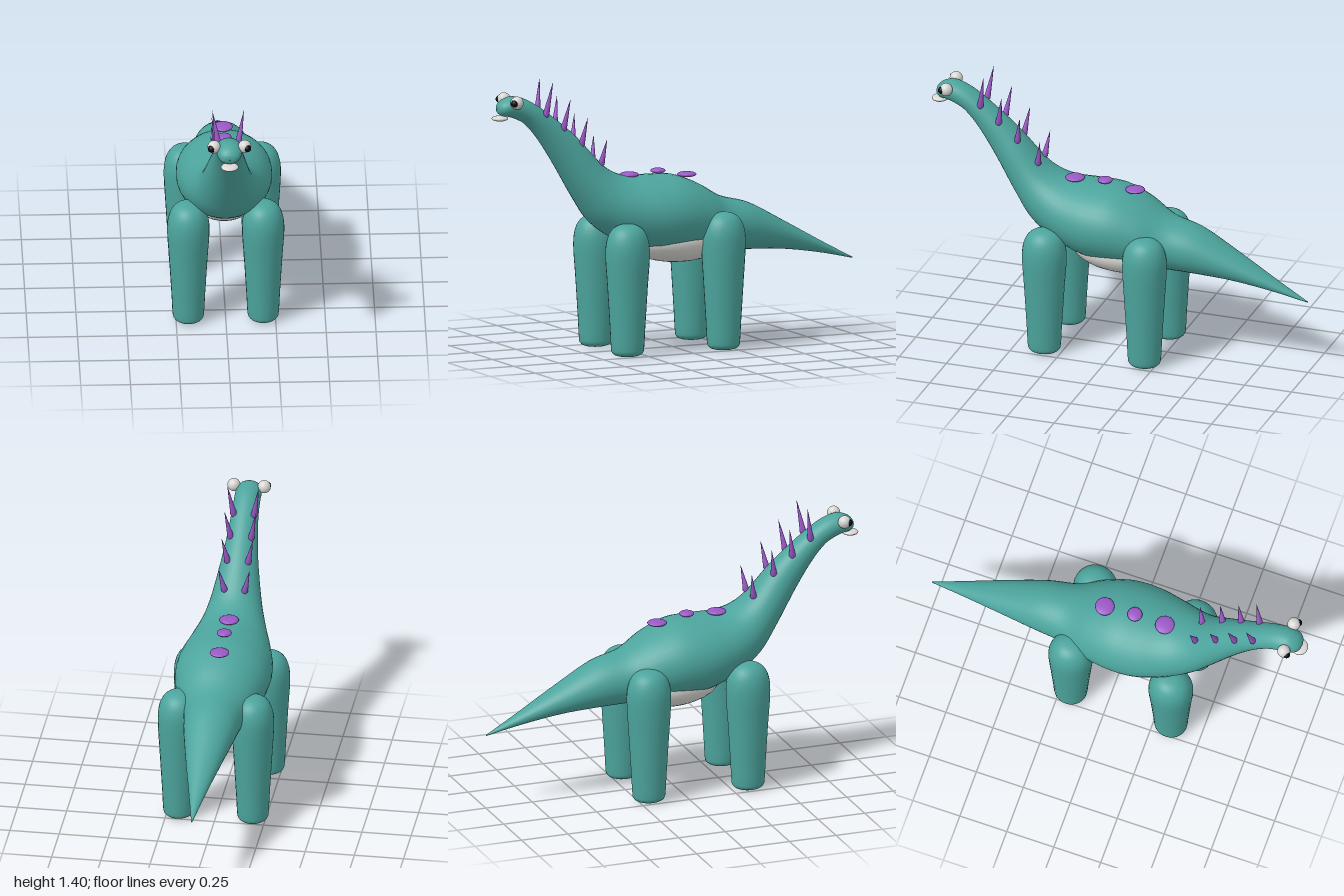
import * as THREE from 'three';

const material = (name, color) => {
  const m = new THREE.MeshStandardMaterial({ color });
  m.name = name;
  return m;
};

export function createModel() {
  const model = new THREE.Group();
  model.name = 'longNeckedDinosaur';
  const skin = material('teal skin', 0x4ca49d);
  const purple = material('purple spines', 0x9a58c6);
  const white = material('off white', 0xd9d8d4);
  const black = material('black pupil', 0x070714);

  const add = (name, geometry, mat, x = 0, y = 0, z = 0) => {
    const mesh = new THREE.Mesh(geometry, mat);
    mesh.name = name;
    mesh.position.set(x, y, z);
    model.add(mesh);
    return mesh;
  };
  const ellipsoid = (rx, ry, rz, w = 32, h = 20) =>
    new THREE.SphereGeometry(1, w, h).scale(rx, ry, rz);

  // Body from tail tip to nose: [top z, top y, bottom z, bottom y, half width]
  const sections = [
    [-1.0, 0.395, -1.0, 0.39, 0.002],
    [-0.82, 0.492, -0.82, 0.43, 0.042],
    [-0.61, 0.61, -0.61, 0.463, 0.09],
    [-0.42, 0.712, -0.42, 0.475, 0.13],
    [-0.26, 0.758, -0.28, 0.48, 0.155],
    [-0.13, 0.832, -0.15, 0.485, 0.205],
    [0.0, 0.882, 0.0, 0.49, 0.238],
    [0.13, 0.889, 0.15, 0.505, 0.238],
    [0.25, 0.892, 0.31, 0.565, 0.205],
    [0.33, 0.915, 0.45, 0.66, 0.165],
    [0.41, 0.97, 0.545, 0.79, 0.13],
    [0.53, 1.1, 0.655, 0.97, 0.095],
    [0.64, 1.195, 0.745, 1.105, 0.076],
    [0.74, 1.27, 0.815, 1.185, 0.068],
    [0.82, 1.317, 0.865, 1.215, 0.066],
    [0.89, 1.335, 0.91, 1.232, 0.065],
    [0.94, 1.322, 0.945, 1.238, 0.055],
    [0.966, 1.299, 0.966, 1.252, 0.033],
    [0.973, 1.277, 0.973, 1.273, 0.003],
  ];
  const topCurve = new THREE.CatmullRomCurve3(
    sections.map(([z, y, , , w]) => new THREE.Vector3(w, y, z)), false, 'catmullrom');
  const bottomCurve = new THREE.CatmullRomCurve3(
    sections.map(([, , z, y, w]) => new THREE.Vector3(w, y, z)), false, 'catmullrom');
  const rings = 108, sides = 36, positions = [], index = [];
  for (let i = 0; i <= rings; i++) {
    const top = topCurve.getPoint(i / rings), bottom = bottomCurve.getPoint(i / rings);
    for (let j = 0; j < sides; j++) {
      const a = (j / sides) * Math.PI * 2, k = (1 - Math.cos(a)) / 2;
      positions.push(
        top.x * Math.sin(a),
        top.y + (bottom.y - top.y) * k,
        top.z + (bottom.z - top.z) * k);
      if (i < rings) {
        const p = i * sides + j, q = i * sides + ((j + 1) % sides);
        index.push(p, p + sides, q, q, p + sides, q + sides);
      }
    }
  }
  const bodyGeometry = new THREE.BufferGeometry();
  bodyGeometry.setAttribute('position', new THREE.Float32BufferAttribute(positions, 3));
  bodyGeometry.setIndex(index);
  bodyGeometry.computeVertexNormals();
  add('body', bodyGeometry, skin);

  // Pale belly and lower lip
  add('belly', ellipsoid(0.19, 0.12, 0.28), white, 0, 0.557, -0.03);
  add('lowerLip', ellipsoid(0.044, 0.014, 0.041), white, 0, 1.227, 0.959);

  // Tapered legs with domed tops and rounded feet
  const legProfile = (height) => new THREE.SplineCurve([
    [0, 0.005], [0.05, 0.007], [0.078, 0.022], [0.085, 0.055], [0.09, 0.15],
    [0.103, 0.36], [0.113, height - 0.17], [0.108, height - 0.09],
    [0.085, height - 0.035], [0.045, height - 0.006], [0, height],
  ].map(([r, y]) => new THREE.Vector2(r, y))).getPoints(40)
    .map((p) => new THREE.Vector2(Math.max(p.x, 0), Math.max(p.y, 0)));
  const frontLeg = new THREE.LatheGeometry(legProfile(0.675), 28).scale(0.94, 1, 1);
  const backLeg = new THREE.LatheGeometry(legProfile(0.702), 28).scale(0.94, 1, 1);

  // Neck spikes: [base z, base y, tip z, tip y]
  const spikes = [
    [0.727, 1.235, 0.7, 1.41],
    [0.63, 1.155, 0.603, 1.315],
    [0.53, 1.07, 0.507, 1.213],
    [0.42, 0.965, 0.4, 1.097],
  ];
  const spikeProfile = [[0, -0.08], [0.011, -0.05], [0.017, 0.03], [0.014, 0.18], [0.007, 0.6], [0, 1]]
    .map(([r, y]) => new THREE.Vector2(r, y));
  const spikeGeometry = new THREE.LatheGeometry(spikeProfile, 14);

  for (const side of [1, -1]) {
    const label = side > 0 ? 'left' : 'right';
    add(label + 'FrontLeg', frontLeg, skin, side * 0.188, 0, 0.338);
    add(label + 'BackLeg', backLeg, skin, side * 0.188, 0, -0.195);
    add(label + 'Eye', ellipsoid(0.033, 0.033, 0.033, 24, 16), white, side * 0.077, 1.312, 0.9);
    add(label + 'Pupil', ellipsoid(0.019, 0.019, 0.019, 16, 12), black, side * 0.09, 1.311, 0.919);
    spikes.forEach(([bz, by, tz, ty], n) => {
      const base = new THREE.Vector3(side * 0.051, by, bz);
      const reach = new THREE.Vector3(side * 0.08, ty, tz).sub(base);
      const spike = add(label + 'NeckSpike' + (n + 1), spikeGeometry, purple, base.x, base.y, base.z);
      spike.scale.y = reach.length();
      spike.quaternion.setFromUnitVectors(new THREE.Vector3(0, 1, 0), reach.normalize());
    });
  }

  // Flat discs along the back
  [[0.24, 0.895, 0.049], [0.08, 0.905, 0.038], [-0.08, 0.876, 0.049]].forEach(([z, y, r], n) =>
    add('backDisc' + (n + 1), ellipsoid(r, 0.014, r, 24, 12), purple, 0, y, z));

  return model;
}
